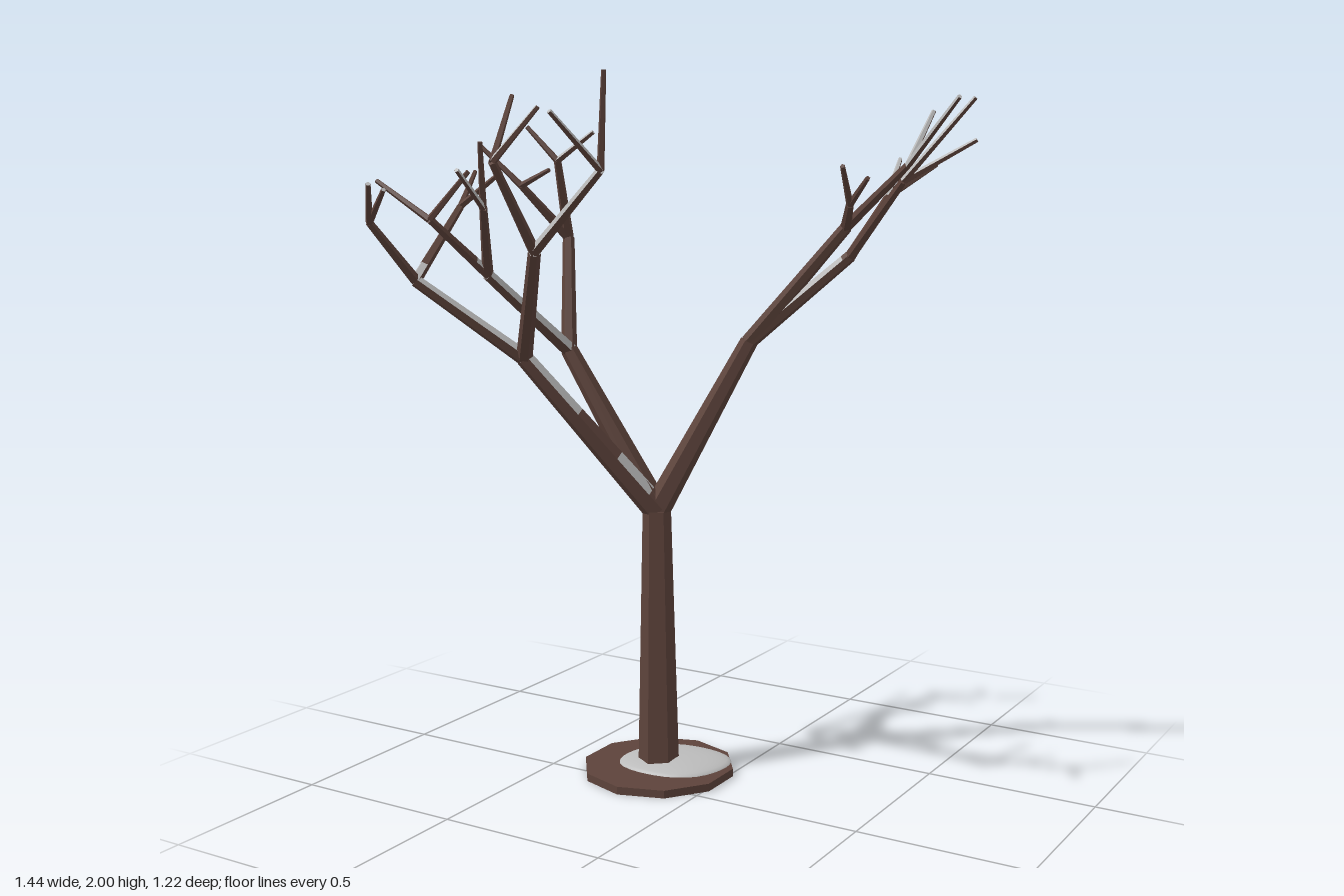
import * as THREE from 'three';

const bark = new THREE.MeshStandardMaterial({ color: 0x5d433b });
bark.name = 'bark brown';
const snow = new THREE.MeshStandardMaterial({ color: 0xbcbcbc });
snow.name = 'snow grey';

const UP = new THREE.Vector3(0, 1, 0);

// Radius at the start and end of each branch level
const RADII = [[0.039, 0.025], [0.023, 0.017], [0.016, 0.011], [0.010, 0.0065]];
const NAMES = ['mainBranch', 'branch', 'smallBranch', 'twig'];

// Faceted tapered piece from a to b; with snow, its upward faces turn pale
function taper(name, a, b, r0, r1, sides, snowy) {
  const dir = b.clone().sub(a);
  const geo = new THREE.CylinderGeometry(r1, r0, dir.length(), sides).toNonIndexed();
  geo.applyQuaternion(new THREE.Quaternion().setFromUnitVectors(UP, dir.normalize()));
  geo.translate((a.x + b.x) / 2, (a.y + b.y) / 2, (a.z + b.z) / 2);
  geo.computeVertexNormals();
  geo.clearGroups();
  const n = geo.attributes.normal;
  for (let i = 0; i < n.count; i += 3) {
    geo.addGroup(i, 3, snowy && n.getY(i) > 0.1 ? 1 : 0);
  }
  const mesh = new THREE.Mesh(geo, [bark, snow]);
  mesh.name = name;
  return mesh;
}

// Node: position, start/end pairs of snow along the branch leading to it, child nodes
const node = (x, y, z, range = [], kids = []) => ({ p: new THREE.Vector3(x, y, z), range, kids });
const ALL = [0, 1];
const BARE = [];

const branches = [
  // branch to the left side
  node(0.04, 1.28, -0.22, BARE, [
    node(0.33, 1.525, -0.262, [0.03, 0.95], [
      node(0.35, 1.68, -0.455, BARE, [
        node(0.317, 1.785, -0.61, ALL),
        node(0.46, 1.77, -0.54, ALL),
      ]),
      node(0.53, 1.73, -0.155, BARE, [
        node(0.708, 1.835, -0.21, ALL),
        node(0.715, 1.94, -0.175, ALL),
      ]),
    ]),
    node(0.33, 1.605, -0.235, BARE, [
      node(0.54, 1.77, -0.16, BARE, [
        node(0.715, 1.94, -0.07, ALL),
        node(0.57, 1.91, -0.25, ALL),
      ]),
      node(0.41, 1.67, -0.09, BARE, [
        node(0.495, 1.74, -0.015),
        node(0.45, 1.77, 0.04),
      ]),
    ]),
  ]),
  // branch to the right side
  node(-0.455, 1.245, -0.045, BARE, [
    node(-0.525, 1.475, 0.235, ALL, [
      node(-0.55, 1.63, 0.445, [0, 0.25], [
        node(-0.71, 1.73, 0.465),
        node(-0.457, 1.755, 0.395),
      ]),
      node(-0.415, 1.66, 0.39, BARE, [
        node(-0.388, 1.76, 0.53, ALL),
        node(-0.39, 1.83, 0.43),
      ]),
    ]),
    node(-0.515, 1.56, -0.135, BARE, [
      node(-0.585, 1.71, -0.005, BARE, [
        node(-0.695, 1.82, 0.035),
        node(-0.48, 1.755, 0.005),
      ]),
      node(-0.49, 1.78, -0.05, BARE, [
        node(-0.58, 1.875, -0.03),
        node(-0.38, 1.86, -0.07, ALL),
      ]),
    ]),
  ]),
  // branch to the front right
  node(-0.47, 1.24, 0.15, [0.1, 0.34, 0.63, 1], [
    node(-0.267, 1.55, 0.37, [0, 0.25, 0.85, 1], [
      node(-0.255, 1.78, 0.555, BARE, [
        node(-0.285, 1.945, 0.43),
        node(-0.165, 1.915, 0.485, ALL),
      ]),
      node(-0.008, 1.76, 0.445, ALL, [
        node(0.012, 2.0, 0.457),
        node(-0.045, 1.9, 0.605, ALL),
      ]),
    ]),
    node(-0.68, 1.46, 0.355, ALL, [
      node(-0.70, 1.62, 0.51, BARE, [
        node(-0.59, 1.71, 0.575, ALL),
        node(-0.615, 1.725, 0.605, ALL),
      ]),
      node(-0.675, 1.655, 0.16, [0, 0.2], [
        node(-0.715, 1.75, 0.04),
        node(-0.545, 1.75, 0.14),
      ]),
    ]),
  ]),
];

// Grow a branch, split where its snow begins and ends, then grow its children
function grow(group, from, n, level) {
  const [r0, r1] = RADII[level];
  const stops = [...new Set([0, ...n.range, 1])];
  for (let i = 0; i + 1 < stops.length; i++) {
    const [t0, t1] = [stops[i], stops[i + 1]];
    const snowy = n.range.indexOf(t0) % 2 === 0;
    group.add(taper(NAMES[level], from.clone().lerp(n.p, t0), from.clone().lerp(n.p, t1),
      THREE.MathUtils.lerp(r0, r1, t0), THREE.MathUtils.lerp(r0, r1, t1), level < 2 ? 6 : 5, snowy));
  }
  n.kids.forEach((k) => grow(group, n.p, k, level + 1));
}

export function createModel() {
  const tree = new THREE.Group();
  tree.name = 'bareTree';

  // Ten-sided earth disc and trunk
  const root = new THREE.Vector3(-0.2, 0, -0.115);
  const fork = new THREE.Vector3(-0.2, 0.79, -0.11);
  tree.add(taper('groundDisc', root, root.clone().setY(0.023), 0.224, 0.224, 10, false));
  tree.add(taper('trunk', root.clone().setY(0.02), fork, 0.06, 0.041, 6, false));

  // Low, slightly squarish and skewed snow mound beside the trunk
  const mound = new THREE.SphereGeometry(1, 32, 8, 0, Math.PI * 2, 0, Math.PI / 2);
  const pos = mound.attributes.position;
  for (let i = 0; i < pos.count; i++) {
    const x = pos.getX(i);
    const z = pos.getZ(i);
    const k = 1 - 0.03 * Math.cos(4 * Math.atan2(z, x));
    pos.setX(i, x * k - z * 0.15);
    pos.setZ(i, z * k);
  }
  mound.scale(0.158, 0.023, 0.137);
  mound.computeVertexNormals();
  const snowMound = new THREE.Mesh(mound, snow);
  snowMound.name = 'snowMound';
  snowMound.position.set(-0.165, 0.022, -0.152);
  tree.add(snowMound);

  // Crown
  branches.forEach((b, i) => {
    const limb = new THREE.Group();
    limb.name = ['leftLimb', 'rightLimb', 'frontLimb'][i];
    grow(limb, fork, b, 0);
    tree.add(limb);
  });
  return tree;
}
